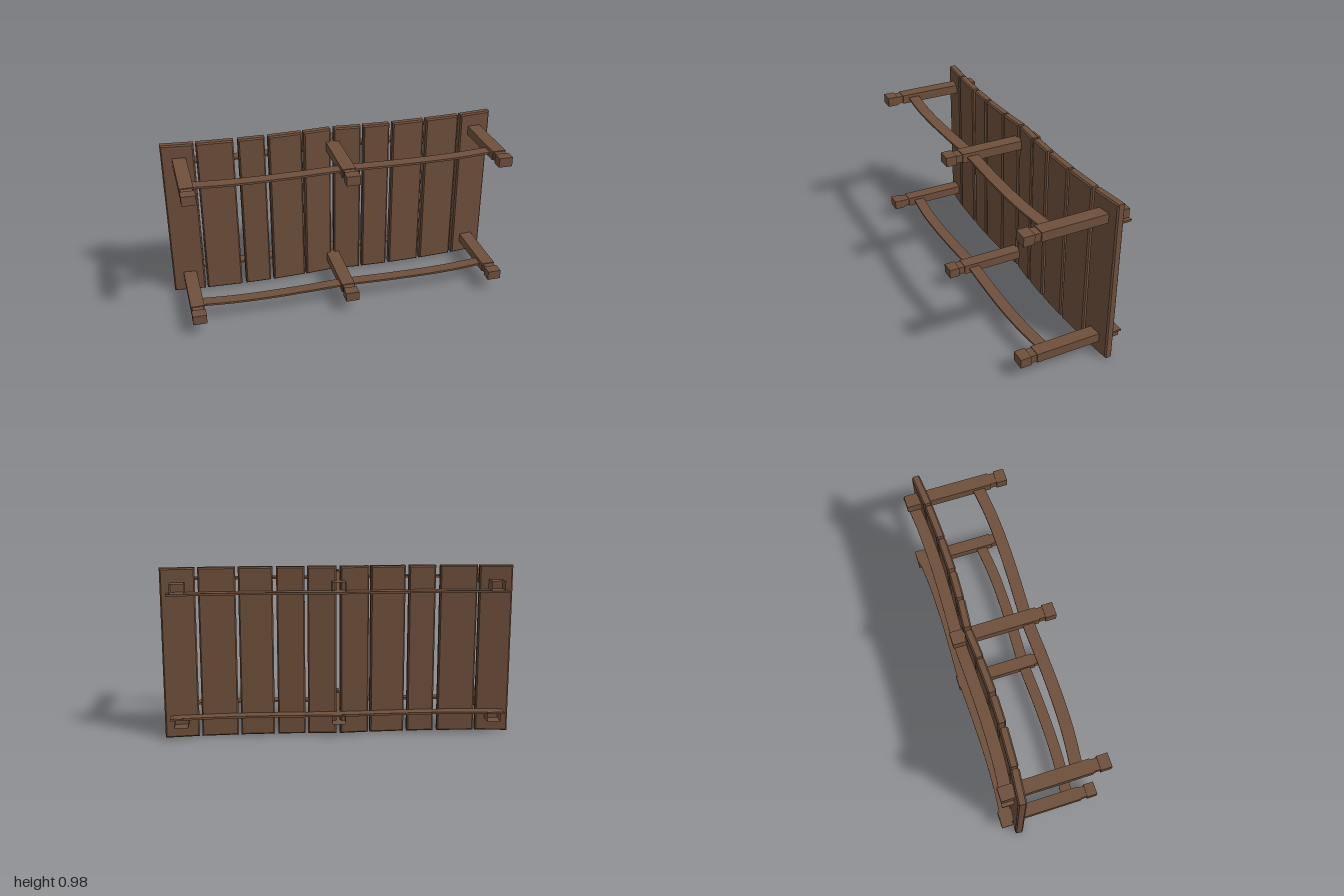
import * as THREE from 'three';

export function createModel() {
  const model = new THREE.Group();
  const wood = new THREE.MeshStandardMaterial({ color: 0x6e4f3b });
  const openWood = new THREE.MeshStandardMaterial({ color: 0x6e4f3b, side: THREE.DoubleSide });
  wood.name = 'wood';
  openWood.name = 'wood open ends';

  const add = (name, geometry, material = wood, parent = model) => {
    const mesh = new THREE.Mesh(geometry, material);
    mesh.name = name;
    parent.add(mesh);
    return mesh;
  };

  // Mirrored wavy line in plan: z as a smooth function of x
  const wave = (points) => {
    const mirrored = points.slice(1).reverse().map(([x, z]) => [-x, z]);
    const curve = new THREE.SplineCurve([...mirrored, ...points].map(([x, z]) => new THREE.Vector2(x, z)));
    return curve.getPoints(32);
  };

  // Chamfered planks following the wave: left edge, right edge, centre z, z rise per x
  const planks = [
    [-1, -0.81, -0.2, 0.1], [-0.8, -0.585, -0.185, 0.05], [-0.56, -0.405, -0.179, 0.01],
    [-0.385, -0.185, -0.181, -0.04], [-0.175, -0.01, -0.19, -0.08],
    [0.01, 0.175, -0.19, 0.08], [0.19, 0.35, -0.181, 0.04], [0.37, 0.565, -0.179, -0.01],
    [0.58, 0.79, -0.185, -0.05], [0.805, 1, -0.2, -0.1],
  ];
  const height = 0.98, thick = 0.048, bevel = 0.008;
  planks.forEach(([x0, x1, z, slope]) => {
    const w = (x1 - x0) / 2 - bevel, h = height / 2 - bevel;
    const shape = new THREE.Shape([[-w, -h], [w, -h], [w, h], [-w, h]].map((p) => new THREE.Vector2(...p)));
    const geometry = new THREE.ExtrudeGeometry(shape, {
      depth: thick - 2 * bevel, bevelEnabled: true, bevelThickness: bevel, bevelSize: bevel, bevelSegments: 1,
    });
    geometry.translate(0, 0, -thick / 2 + bevel);
    const plank = add('plank', geometry);
    plank.position.set((x0 + x1) / 2, height / 2, z);
    plank.rotation.y = -Math.atan(slope);
  });

  // Thin wavy rails, flat in plan
  const rail = (name, line, yBottom, thickness) => {
    const near = line.map((p) => new THREE.Vector2(p.x, p.y + 0.034));
    const far = line.map((p) => new THREE.Vector2(p.x, p.y - 0.034)).reverse();
    const geometry = new THREE.ExtrudeGeometry(new THREE.Shape([...near, ...far]), {
      depth: thickness, bevelEnabled: false,
    });
    geometry.rotateX(Math.PI / 2);
    geometry.translate(0, yBottom + thickness, 0);
    add(name, geometry);
  };
  const backLine = wave([[0, -0.255], [0.25, -0.247], [0.5, -0.243], [0.75, -0.251], [0.96, -0.273]]);
  const frontLine = wave([[0, 0.142], [0.25, 0.151], [0.48, 0.155], [0.68, 0.149], [0.87, 0.13]]);
  rail('upperBackRail', backLine, 0.833, 0.012);
  rail('lowerBackRail', backLine, 0.122, 0.012);
  rail('upperFrontRail', frontLine, 0.867, 0.012);
  rail('lowerFrontRail', frontLine, 0.1, 0.012);

  // Cross beams with a neck and a square head; the shaft is open at the back
  const block = (w, h, z0, z1) => new THREE.BoxGeometry(w, h, z1 - z0).translate(0, 0, (z0 + z1) / 2);
  for (const y of [0.1055, 0.8725]) {
    for (const x of [-0.9, 0, 0.9]) {
      const beam = new THREE.Group();
      beam.name = 'crossBeam';
      beam.position.set(x, y, 0);
      const shaft = block(0.078, 0.054, x === 0 ? -0.295 : -0.305, 0.205);
      shaft.setIndex(Array.from(shaft.index.array).slice(0, 30));
      shaft.clearGroups();
      add('beamShaft', shaft, openWood, beam);
      add('beamNeck', block(0.066, 0.045, 0.2, 0.245), wood, beam);
      add('beamHead', block(0.08, 0.056, 0.242, 0.305), wood, beam);
      model.add(beam);
    }
  }
  return model;
}
